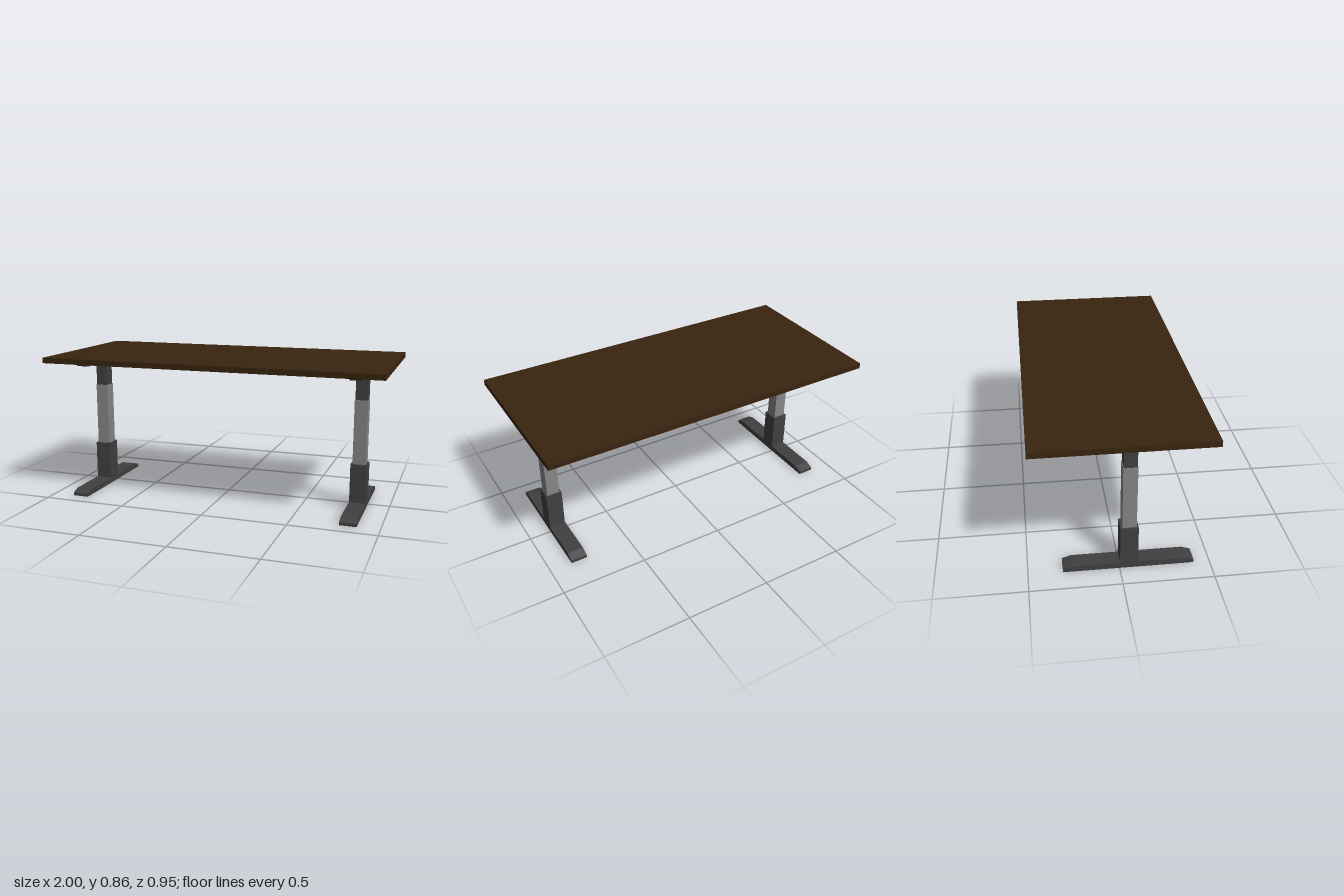
import * as THREE from 'three';

const dark = new THREE.MeshStandardMaterial({ color: 0x404040, flatShading: true });
const grey = new THREE.MeshStandardMaterial({ color: 0x868686, flatShading: true });
const wood = new THREE.MeshStandardMaterial({ color: 0x38240f, flatShading: true });

// Box given by its width in x and its ranges in y and z
function block(name, width, y0, y1, z0, z1, material) {
  const mesh = new THREE.Mesh(new THREE.BoxGeometry(width, y1 - y0, z1 - z0), material);
  mesh.position.set(0, (y0 + y1) / 2, (z0 + z1) / 2);
  mesh.name = name;
  return mesh;
}

// Side outline of [z, y] points, extruded across x
function bar(name, width, outline, material) {
  const shape = new THREE.Shape(outline.map(([z, y]) => new THREE.Vector2(-z, y)));
  const geometry = new THREE.ExtrudeGeometry(shape, { depth: width, bevelEnabled: false });
  geometry.translate(0, 0, -width / 2);
  geometry.rotateY(Math.PI / 2);
  const mesh = new THREE.Mesh(geometry, material);
  mesh.name = name;
  return mesh;
}

function createLeg(name, x) {
  const leg = new THREE.Group();
  leg.name = name;
  leg.position.x = x;
  leg.add(
    // Foot with sloped ends
    bar('foot', 0.096, [
      [0.41, 0], [0.41, 0.018], [0.36, 0.035], [-0.26, 0.035], [-0.31, 0.018], [-0.31, 0],
    ], dark),
    // Telescoping column in three stages
    block('lowerColumn', 0.096, 0.03, 0.264, 0.002, 0.1, dark),
    block('middleColumn', 0.076, 0.25, 0.641, 0.012, 0.09, grey),
    block('upperColumn', 0.07, 0.63, 0.8, 0.016, 0.087, dark),
    // Bracket under the table top, cut away at the ends
    bar('bracket', 0.07, [
      [0.346, 0.823], [0.346, 0.806], [0.313, 0.79], [-0.18, 0.79], [-0.213, 0.806], [-0.213, 0.823],
    ], dark),
  );
  return leg;
}

export function createModel() {
  const desk = new THREE.Group();
  desk.name = 'desk';
  desk.add(block('tableTop', 2, 0.823, 0.855, -0.475, 0.475, wood));
  desk.add(createLeg('leftLeg', 0.823), createLeg('rightLeg', -0.823));
  return desk;
}
